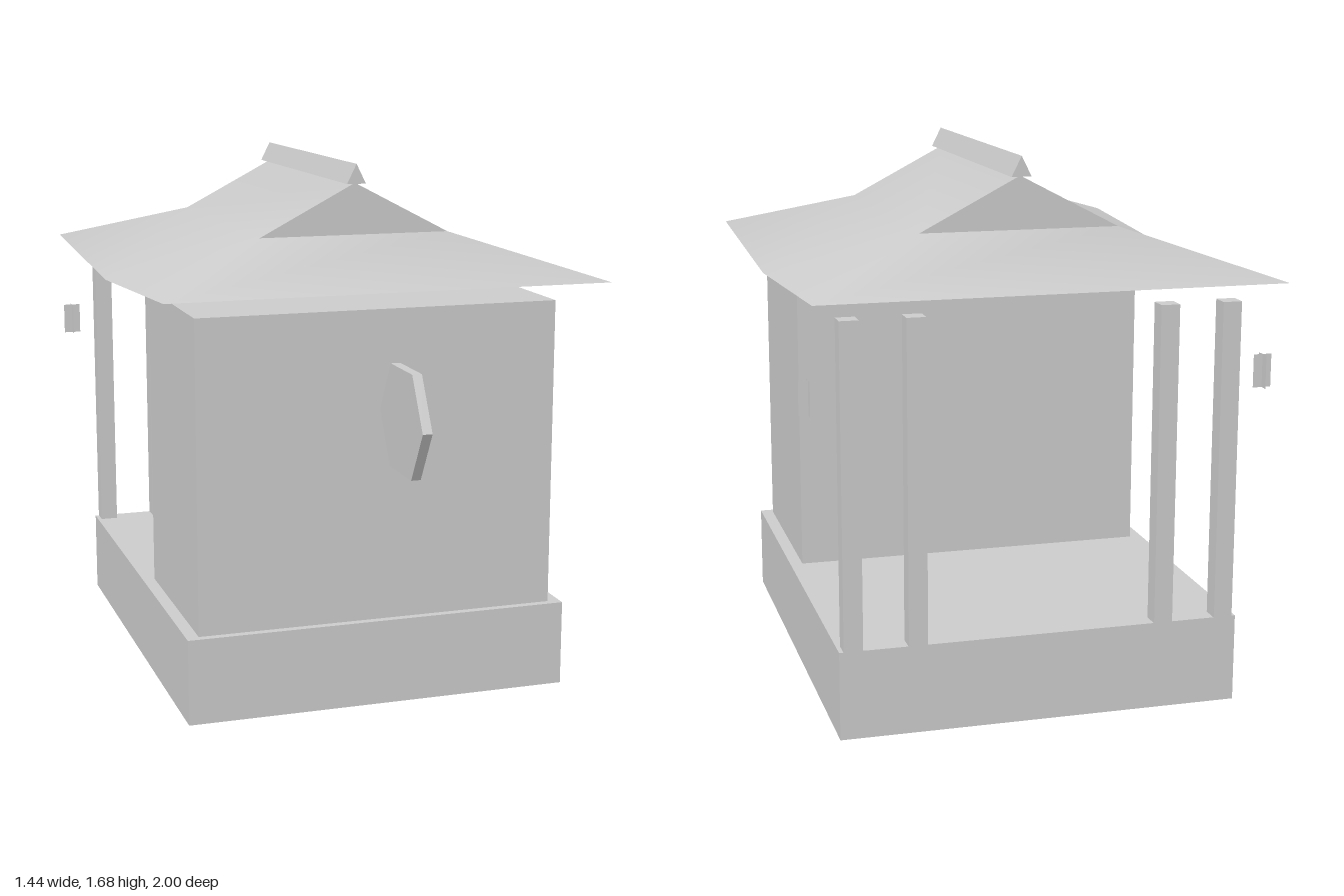
import * as THREE from 'three';

const material = new THREE.MeshStandardMaterial({ color: 0xcccccc });
const thinMaterial = new THREE.MeshStandardMaterial({ color: 0xcccccc, side: THREE.DoubleSide });

// Box given by its limits on each axis
function box(name, [x0, x1], [y0, y1], [z0, z1]) {
  const mesh = new THREE.Mesh(new THREE.BoxGeometry(x1 - x0, y1 - y0, z1 - z0), material);
  mesh.position.set((x0 + x1) / 2, (y0 + y1) / 2, (z0 + z1) / 2);
  mesh.name = name;
  return mesh;
}

// Outline extruded along z, between z0 and z1
function prism(points, z0, z1) {
  const shape = new THREE.Shape(points.map(([x, y]) => new THREE.Vector2(x, y)));
  return new THREE.ExtrudeGeometry(shape, { depth: z1 - z0, bevelEnabled: false }).translate(0, 0, z0);
}

const FRONT = 0.34, BACK = -0.61, KNEE_X = 0.31, KNEE_Y = 1.455, RIDGE_Y = 1.617;

// Hip-and-gable roof skin: steep top, flared skirt, sagging side eaves
function roofGeometry() {
  const points = [[0, RIDGE_Y, FRONT], [0, RIDGE_Y, BACK]];
  for (const s of [1, -1]) {
    points.push(
      [s * KNEE_X, KNEE_Y, FRONT], [s * KNEE_X, KNEE_Y, BACK],
      [s * 0.703, 1.327, 0.725], [s * 0.703, 1.327, -1],
      [s * 0.703, 1.278, -0.135]);
  }
  const side = [[0, 2, 3], [0, 3, 1], [2, 6, 3], [2, 4, 6], [3, 6, 5]];
  const mirror = (i) => (i < 2 ? i : i + 5);
  const faces = [
    ...side,
    ...side.map(([a, b, c]) => [mirror(a), mirror(c), mirror(b)]),
    [9, 4, 2], [9, 2, 7], // front skirt
    [5, 10, 8], [5, 8, 3], // back skirt
  ];
  const geometry = new THREE.BufferGeometry();
  geometry.setAttribute('position', new THREE.Float32BufferAttribute(points.flat(), 3));
  geometry.setIndex(faces.flat());
  geometry.computeVertexNormals();
  return geometry;
}

export function createModel() {
  const model = new THREE.Group();
  model.name = 'shrine';

  // Platform and closed room
  model.add(box('platform', [-0.62, 0.62], [0, 0.273], [-0.875, 0.61]));
  model.add(box('room', [-0.58, 0.58], [0.273, 1.257], [-0.035, 0.585]));

  // Porch posts in two pairs
  for (const x of [-0.578, -0.383, 0.383, 0.578]) {
    model.add(box('porchPost', [x - 0.029, x + 0.029], [0.273, 1.257], [-0.879, -0.821]));
  }

  // Roof, gable ends and ridge beam
  const roof = new THREE.Mesh(roofGeometry(), thinMaterial);
  roof.name = 'roof';
  model.add(roof);

  const gableShape = new THREE.Shape([
    new THREE.Vector2(-KNEE_X, KNEE_Y), new THREE.Vector2(KNEE_X, KNEE_Y), new THREE.Vector2(0, RIDGE_Y)]);
  for (const z of [FRONT, BACK]) {
    const gable = new THREE.Mesh(new THREE.ShapeGeometry(gableShape), thinMaterial);
    gable.name = 'gable';
    gable.position.z = z;
    if (z === BACK) gable.rotation.y = Math.PI;
    model.add(gable);
  }

  const ridge = new THREE.Mesh(prism([[-0.031, 1.615], [0.031, 1.615], [0, 1.677]], -0.625, 0.355), material);
  ridge.name = 'ridgeBeam';
  model.add(ridge);

  // Six-sided plaque in front of the room, edge-on to the front
  const hexagon = [];
  for (let i = 0; i < 6; i++) {
    const a = (i * Math.PI) / 3;
    hexagon.push([0.184 * Math.cos(a) - 0.816, 0.184 * Math.sin(a) * 0.99 + 0.958]);
  }
  const plaque = new THREE.Mesh(prism(hexagon, -0.015, 0.015).rotateY(Math.PI / 2), material);
  plaque.name = 'hexagonPlaque';
  model.add(plaque);

  // Hanging lanterns made of two crossed sheets
  for (const s of [1, -1]) {
    const lantern = new THREE.Group();
    lantern.name = 'lantern';
    for (const angle of [0, Math.PI / 2]) {
      const sheet = new THREE.Mesh(new THREE.PlaneGeometry(0.057, 0.102), thinMaterial);
      sheet.name = 'lanternSheet';
      sheet.rotation.y = angle;
      lantern.add(sheet);
    }
    lantern.position.set(s * 0.692, 1.036, -0.85);
    model.add(lantern);
  }

  return model;
}
